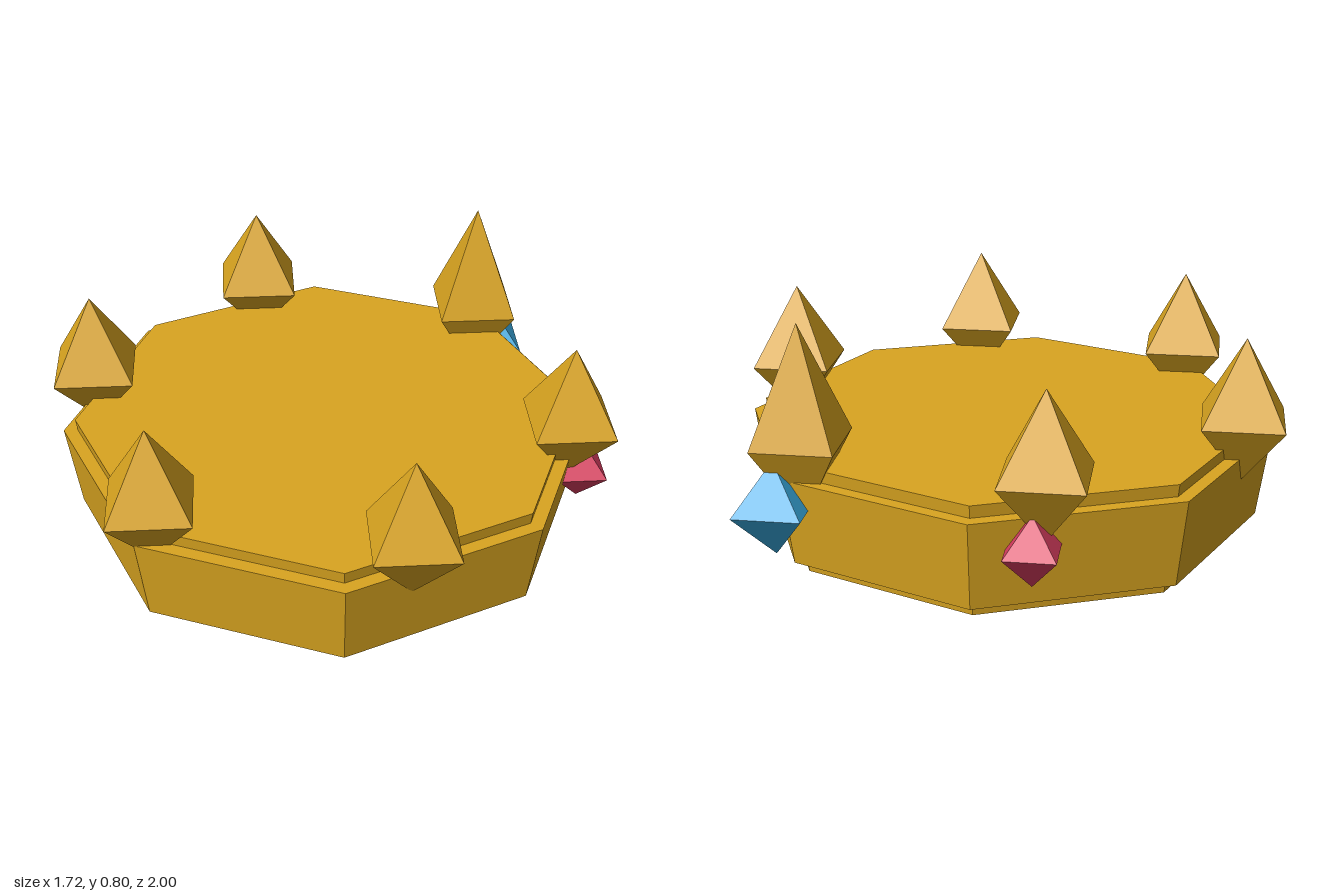
import * as THREE from 'three';

const material = (name, color) => {
  const m = new THREE.MeshStandardMaterial({ color, flatShading: true });
  m.name = name;
  return m;
};

// Four-sided crystal with separate heights above and below its girdle
function crystal(radius, up, down) {
  const geo = new THREE.OctahedronGeometry(1);
  const pos = geo.attributes.position;
  for (let i = 0; i < pos.count; i++) {
    const y = pos.getY(i);
    pos.setXYZ(i, pos.getX(i) * radius, y * (y > 0 ? up : down), pos.getZ(i) * radius);
  }
  geo.computeVertexNormals();
  return geo;
}

export function createModel() {
  const gold = material('gold', 0xdaa520);
  const blue = material('sapphire blue', 0x38a8dc);
  const red = material('ruby red', 0xd63c5e);
  const crown = new THREE.Group();
  crown.name = 'crown';

  const add = (name, geo, mat, x, y, z) => {
    const mesh = new THREE.Mesh(geo, mat);
    mesh.name = name;
    mesh.position.set(x, y, z);
    crown.add(mesh);
  };

  // Flared octagonal core with a wider band around it
  const drum = (name, rTop, rBottom, y0, y1) =>
    add(name, new THREE.CylinderGeometry(rTop, rBottom, y1 - y0, 8), gold, 0, (y0 + y1) / 2, 0.03);
  drum('core', 0.82, 0.77, 0, 0.365);
  drum('band', 0.86, 0.82, 0.042, 0.325);

  // Points: a tall one at the back, a plain one in front, two on each side
  const point = crystal(0.18, 0.26, 0.205);
  add('backPoint', crystal(0.18, 0.365, 0.26), gold, 0, 0.433, -0.75);
  add('frontPoint', point, gold, 0, 0.44, 0.815);

  // Mirrored side points and small gems
  const smallGem = crystal(0.11, 0.11, 0.11);
  for (const [side, s] of [['left', 1], ['right', -1]]) {
    add(side + 'FrontPoint', point, gold, s * 0.68, 0.44, 0.425);
    add(side + 'BackPoint', point, gold, s * 0.68, 0.44, -0.357);
    add(side + 'Gem', smallGem, red, s * 0.695, 0.23, -0.415);
  }

  // Large gem at the back
  add('backGem', crystal(0.15, 0.15, 0.15), blue, 0, 0.24, -0.85);
  return crown;
}
